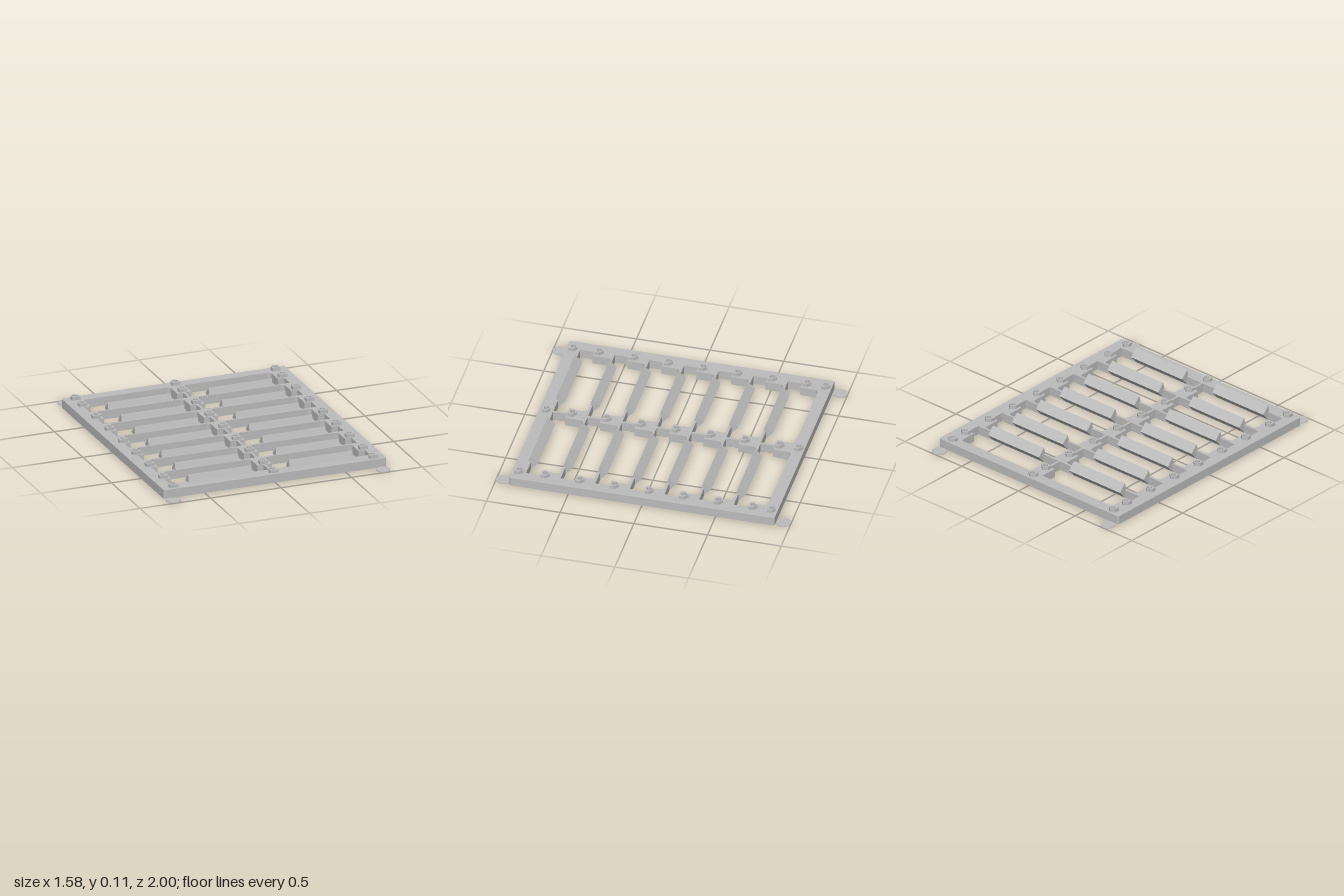
import * as THREE from 'three';

const gray = new THREE.MeshStandardMaterial({ color: 0xbcbcbc });
gray.name = 'light gray';

const H = 0.06;          // frame thickness
const PITCH = 0.235;     // distance between slat rows
const ROWS = 7;
const FIRST_BAR = -0.603; // rear face of the first crossbar
const HOLE_R = 0.017;

// Plan outlines are drawn in x and -z, then laid flat
function extrudeUp(shape, height, y) {
  const g = new THREE.ExtrudeGeometry(shape, { depth: height, bevelEnabled: false, curveSegments: 8 });
  g.rotateX(-Math.PI / 2);
  g.translate(0, y, 0);
  return g;
}

function addMesh(parent, name, geometry, x = 0, y = 0, z = 0) {
  const m = new THREE.Mesh(geometry, gray);
  m.name = name;
  m.position.set(x, y, z);
  parent.add(m);
  return m;
}

function roundedRect(x, z, r) {
  const s = new THREE.Shape();
  s.moveTo(-x + r, -z);
  s.lineTo(x - r, -z);
  s.quadraticCurveTo(x, -z, x, -z + r);
  s.lineTo(x, z - r);
  s.quadraticCurveTo(x, z, x - r, z);
  s.lineTo(-x + r, z);
  s.quadraticCurveTo(-x, z, -x, z - r);
  s.lineTo(-x, -z + r);
  s.quadraticCurveTo(-x, -z, -x + r, -z);
  return s;
}

function circleHole(x, z) {
  const p = new THREE.Path();
  p.absarc(x, -z, HOLE_R, 0, Math.PI * 2, true);
  return p;
}

// Stepped window: narrow with rounded corners at the rear, wider at the front
function windowHole(side, front) {
  const back = front - 0.219, step = front - 0.095, r = 0.026;
  const inner = 0.051, outer = 0.664, wideIn = 0.008, wideOut = 0.71;
  const p = new THREE.Path();
  p.moveTo(side * wideIn, -front);
  p.lineTo(side * wideOut, -front);
  p.lineTo(side * wideOut, -step);
  p.lineTo(side * outer, -step);
  p.lineTo(side * outer, -(back + r));
  p.quadraticCurveTo(side * outer, -back, side * (outer - r), -back);
  p.lineTo(side * (inner + r), -back);
  p.quadraticCurveTo(side * inner, -back, side * inner, -(back + r));
  p.lineTo(side * inner, -step);
  p.lineTo(side * wideIn, -step);
  p.closePath();
  return p;
}

export function createModel() {
  const model = new THREE.Group();
  model.name = 'slottedRack';

  // Peg rows
  const pegZ = [-0.862, 0.853];
  for (let i = 0; i < ROWS; i++) pegZ.push(-0.735 + i * PITCH);
  const pegX = [-0.709, 0, 0.709];

  // Frame plate with windows and through holes
  const plate = roundedRect(0.79, 0.9, 0.014);
  for (let i = 0; i < ROWS; i++)
    for (const side of [-1, 1]) plate.holes.push(windowHole(side, FIRST_BAR + i * PITCH));
  for (const x of pegX) for (const z of pegZ) plate.holes.push(circleHole(x, z));
  addMesh(model, 'frame', extrudeUp(plate, H, 0));

  // House-shaped hollow pegs pointing to the rear
  const house = new THREE.Shape([
    [-0.029, -0.027], [0.029, -0.027], [0.029, 0.005], [0, 0.029], [-0.029, 0.005],
  ].map(([x, y]) => new THREE.Vector2(x, y)));
  house.holes.push(circleHole(0, 0));
  const pegGeo = extrudeUp(house, 0.023, H);
  const pegs = new THREE.Group();
  pegs.name = 'pegs';
  for (const x of pegX) for (const z of pegZ) addMesh(pegs, 'peg', pegGeo, x, 0, z);
  model.add(pegs);

  // Slanted slats leaning on the crossbars (profile in z and y)
  const profile = new THREE.Shape([
    [0, 0.004], [0.016, H], [0.002, 0.11], [-0.047, 0.057],
  ].map(([z, y]) => new THREE.Vector2(z, y)));
  const slatLength = 0.449;
  const slatGeo = new THREE.ExtrudeGeometry(profile, { depth: slatLength, bevelEnabled: false });
  slatGeo.rotateY(-Math.PI / 2);
  slatGeo.translate(slatLength / 2, 0, 0);
  const slats = new THREE.Group();
  slats.name = 'slats';
  for (let i = 0; i < ROWS; i++)
    for (const side of [-1, 1])
      addMesh(slats, 'slat', slatGeo, side * 0.3575, 0, FIRST_BAR + i * PITCH);
  model.add(slats);

  // Thin corner discs on the ground
  const discGeo = new THREE.CylinderGeometry(0.048, 0.048, 0.005, 32);
  for (const sx of [-1, 1])
    for (const sz of [-1, 1]) addMesh(model, 'cornerDisc', discGeo, sx * 0.743, 0.0025, sz * 0.952);

  return model;
}
